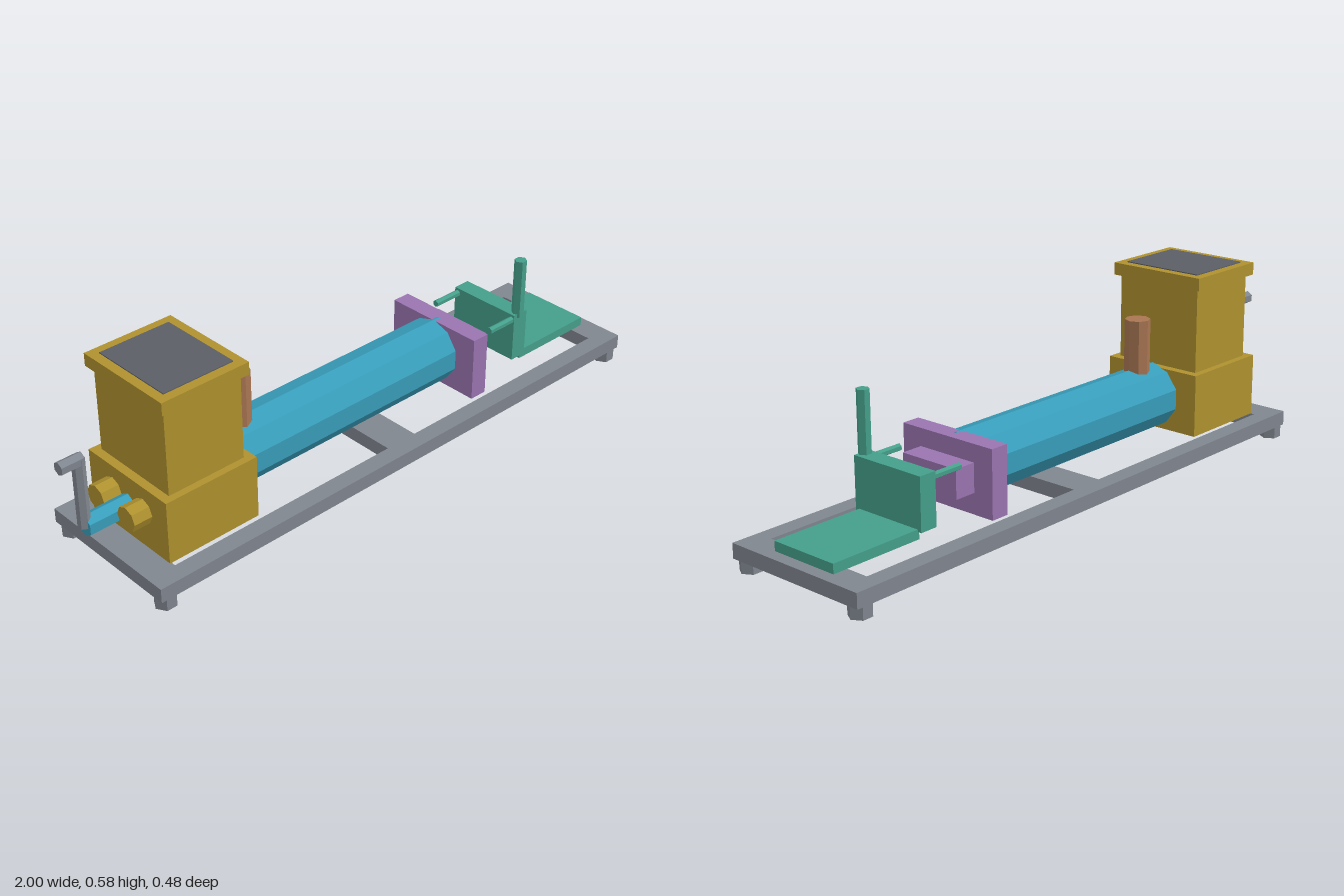
import * as THREE from 'three';

export function createModel() {
  const model = new THREE.Group();
  const mat = (color) => new THREE.MeshStandardMaterial({ color, flatShading: true });
  const steel = mat(0x80868f), dark = mat(0x5c5e66), gold = mat(0xae912e);
  const blue = mat(0x389dba), purple = mat(0x9a74b0), green = mat(0x459f8a), copper = mat(0xa87552);

  const add = (name, geometry, material) => {
    const mesh = new THREE.Mesh(geometry, material);
    mesh.name = name;
    model.add(mesh);
    return mesh;
  };

  // Box from its extents; z is the half depth, centred on z = 0
  const box = (name, x0, x1, y0, y1, z, material) =>
    add(name, new THREE.BoxGeometry(x1 - x0, y1 - y0, 2 * z), material)
      .position.set((x0 + x1) / 2, (y0 + y1) / 2, 0);

  // Upright prism; a turn of PI / 2 points a corner along x
  const post = (name, x, z, y0, y1, r, sides, turn, material) => {
    const g = new THREE.CylinderGeometry(r, r, y1 - y0, sides).rotateY(turn);
    add(name, g, material).position.set(x, (y0 + y1) / 2, z);
  };

  // Prism lying along x, with a corner pointing up
  const bar = (name, x0, x1, y, z, r, sides, material) => {
    const g = new THREE.CylinderGeometry(r, r, x1 - x0, sides).rotateY(Math.PI / 2).rotateZ(Math.PI / 2);
    add(name, g, material).position.set((x0 + x1) / 2, y, z);
  };

  // Base frame: one plate with two openings, leaving a cross member
  const rect = (path, x0, x1, z) =>
    path.moveTo(x0, -z).lineTo(x1, -z).lineTo(x1, z).lineTo(x0, z).closePath();
  const outline = rect(new THREE.Shape(), -0.88, 0.995, 0.24);
  outline.holes.push(rect(new THREE.Path(), -0.79, 0, 0.185), rect(new THREE.Path(), 0.11, 0.91, 0.185));
  const frame = new THREE.ExtrudeGeometry(outline, { depth: 0.045, bevelEnabled: false });
  add('baseFrame', frame.rotateX(-Math.PI / 2), steel).position.y = 0.036;

  // Feet
  for (const x of [-0.847, 0.96])
    for (const z of [-0.211, 0.211]) post('foot', x, z, 0, 0.037, 0.0335, 6, Math.PI / 2, steel);

  // Gearbox and hopper
  box('gearbox', -0.795, -0.485, 0.08, 0.277, 0.17, gold);
  box('hopper', -0.768, -0.512, 0.277, 0.545, 0.148, gold);
  box('hopperRim', -0.784, -0.496, 0.543, 0.582, 0.165, gold);
  box('hopperOpening', -0.755, -0.525, 0.575, 0.585, 0.136, dark);

  // Barrel with its upright port
  bar('barrel', -0.49, 0.397, 0.1865, 0, 0.1015, 10, blue);
  post('port', -0.408, 0, 0.25, 0.446, 0.04, 8, 0, copper);

  // End plate and nozzle block
  box('endPlate', 0.373, 0.432, 0.08, 0.286, 0.17, purple);
  box('nozzleBlock', 0.43, 0.502, 0.144, 0.232, 0.102, purple);

  // Cutter: block, outlet tray, guide rods and lever
  box('cutterBlock', 0.603, 0.66, 0.103, 0.262, 0.126, green);
  box('tray', 0.655, 0.957, 0.081, 0.11, 0.113, green);
  for (const z of [-0.115, 0.115]) bar('guideRod', 0.502, 0.62, 0.245, z, 0.011, 6, green);
  post('lever', 0.63, 0.115, 0.25, 0.446, 0.0195, 6, Math.PI / 2, green);

  // Drive end: bearing knobs, shaft and crank
  for (const z of [-0.067, 0.067]) bar('bearingKnob', -0.853, -0.79, 0.2, z, 0.038, 8, gold);
  bar('driveShaft', -0.94, -0.79, 0.1875, 0, 0.032, 6, blue);
  post('crankArm', -0.939, 0, 0.187, 0.405, 0.0185, 6, 0, steel);
  bar('crankHandle', -1, -0.928, 0.4, 0, 0.02, 6, steel);

  return model;
}
